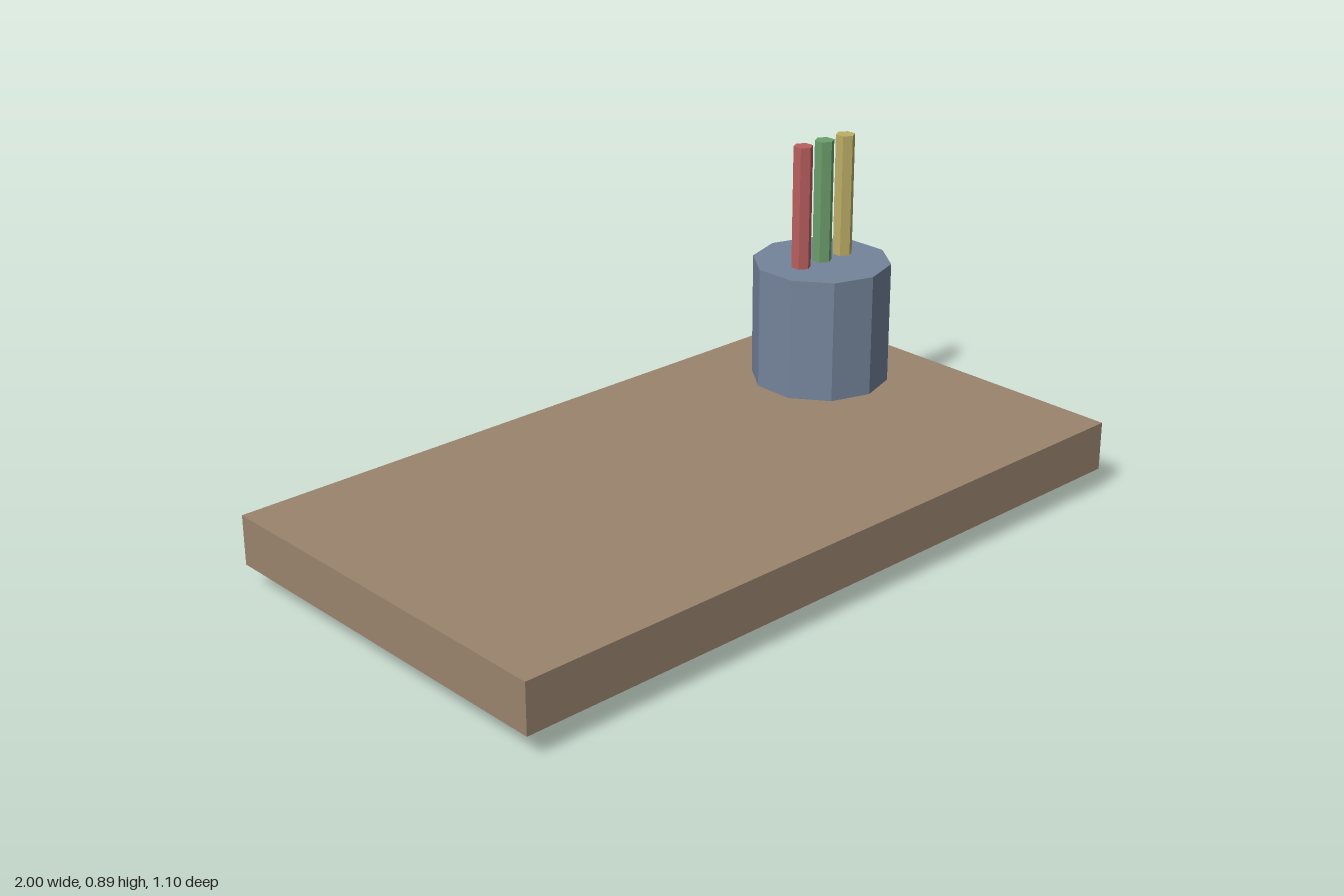
import * as THREE from 'three';

function material(name, color) {
  const m = new THREE.MeshStandardMaterial({ color });
  m.name = name;
  return m;
}

export function createModel() {
  const group = new THREE.Group();
  group.name = 'deskWithPenCup';

  const wood = material('brown wood', 0x9a846e);
  const slate = material('slate blue', 0x75849b);

  const add = (name, geometry, mat, x, y, z) => {
    const mesh = new THREE.Mesh(geometry, mat);
    mesh.name = name;
    mesh.position.set(x, y, z);
    group.add(mesh);
  };

  // Upright prism with flat sides and a corner facing +z
  const prism = (radius, height, sides) =>
    new THREE.CylinderGeometry(radius, radius, height, sides).toNonIndexed();
  const flatPrism = (...args) => {
    const g = prism(...args);
    g.computeVertexNormals();
    return g;
  };

  // Desk board, with a thin tray hanging just below it
  add('deskTop', new THREE.BoxGeometry(2, 0.136, 1.1), wood, 0, 0.132, 0);
  add('underTray', new THREE.BoxGeometry(1.376, 0.055, 0.826), wood, 0, 0.0275, 0);

  // Ten-sided pen cup in the back corner
  const cupX = 0.688, cupZ = -0.206;
  add('penCup', flatPrism(0.193, 0.345, 10), slate, cupX, 0.3725, cupZ);

  // Row of three six-sided pens
  const pens = [
    ['redPen', material('red', 0xba5f5f)],
    ['greenPen', material('green', 0x6c9f6c)],
    ['yellowPen', material('yellow', 0xbdae68)],
  ];
  pens.forEach(([name, mat], i) => {
    add(name, flatPrism(0.0275, 0.55, 6), mat, cupX + (i - 1) * 0.0825, 0.615, cupZ);
  });

  return group;
}
